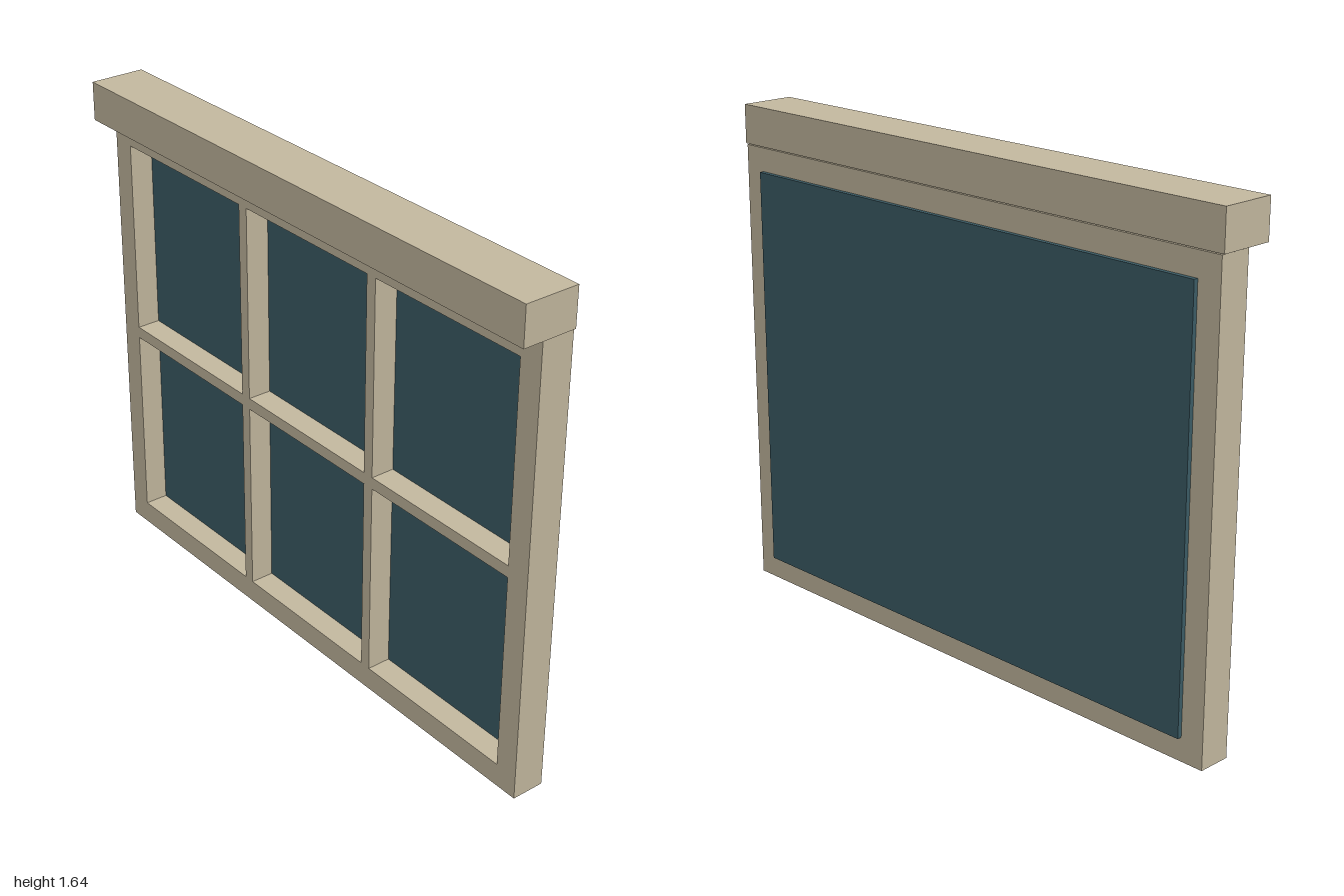
import * as THREE from 'three';

const stone = new THREE.MeshStandardMaterial({ color: 0xc2b79e });
stone.name = 'tan frame';
const pane = new THREE.MeshStandardMaterial({ color: 0x3c5c66 });
pane.name = 'dark blue glass';

// Box given by its minimum and maximum corners
function slab(name, material, [x0, y0, z0], [x1, y1, z1]) {
  const mesh = new THREE.Mesh(new THREE.BoxGeometry(x1 - x0, y1 - y0, z1 - z0), material);
  mesh.position.set((x0 + x1) / 2, (y0 + y1) / 2, (z0 + z1) / 2);
  mesh.name = name;
  return mesh;
}

function rectangle(target, x0, y0, x1, y1) {
  target.moveTo(x0, y0);
  target.lineTo(x1, y0);
  target.lineTo(x1, y1);
  target.lineTo(x0, y1);
  target.closePath();
  return target;
}

export function createModel() {
  const group = new THREE.Group();
  group.name = 'window';
  const back = -0.085, front = 0.025;

  // Frame and glazing bars, pierced by six openings
  const columns = [[-0.914, -0.325], [-0.287, 0.285], [0.323, 0.914]];
  const rows = [[0.077, 0.738], [0.777, 1.432]];
  const outline = rectangle(new THREE.Shape(), -0.993, 0, 0.993, 1.51);
  for (const [x0, x1] of columns) {
    for (const [y0, y1] of rows) outline.holes.push(rectangle(new THREE.Path(), x0, y0, x1, y1));
  }
  const frame = new THREE.Mesh(
    new THREE.ExtrudeGeometry(outline, { depth: front - back, bevelEnabled: false }), stone);
  frame.position.z = back;
  frame.name = 'windowFrame';
  group.add(frame);

  // Projecting header above the frame
  group.add(slab('header', stone, [-1, 1.513, back], [1, 1.641, 0.1]));

  // Thick glass sheet set into the openings and standing proud of the back
  group.add(slab('glass', pane, [-0.914, 0.077, -0.1], [0.914, 1.432, -0.055]));

  return group;
}
